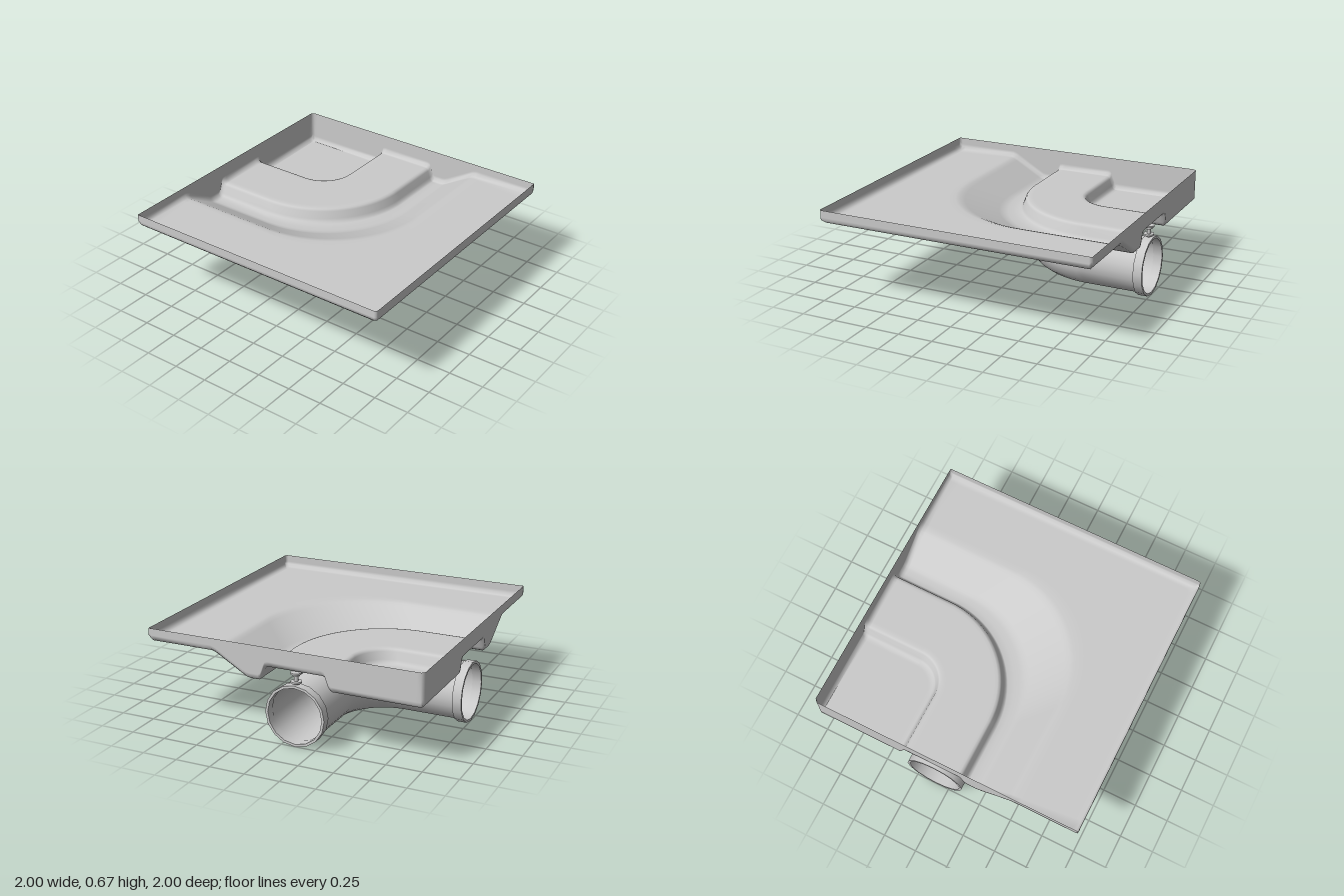
import * as THREE from 'three';
import { mergeVertices } from 'three/addons/utils/BufferGeometryUtils.js';

const RIM = 0.67, ARC = 24;

// Path of a 90 degree bend: from the back edge along x = u, round a corner of radius r, to the left edge along z = -u
function bendPath(u, r, end) {
  const pts = [];
  for (const t of [0, 0.04, 0.5]) pts.push([u, THREE.MathUtils.lerp(-end, -u - r, t)]);
  for (let k = 0; k <= ARC; k++) {
    const a = (k / ARC) * Math.PI / 2;
    pts.push([u + r - r * Math.cos(a), -u - r + r * Math.sin(a)]);
  }
  for (const t of [0.5, 0.96, 1]) pts.push([THREE.MathUtils.lerp(u + r, end, t), -u]);
  return pts;
}

// Surface through rows of equally many points
function loft(rows) {
  const n = rows[0].length, index = [];
  for (let i = 0; i < rows.length - 1; i++) {
    for (let j = 0; j < n - 1; j++) {
      const a = i * n + j, b = a + n;
      index.push(a, a + 1, b, b, a + 1, b + 1);
    }
  }
  const geo = new THREE.BufferGeometry();
  geo.setAttribute('position', new THREE.Float32BufferAttribute(rows.flat(2), 3));
  geo.setIndex(index);
  const merged = mergeVertices(geo, 1e-5);
  merged.computeVertexNormals();
  return merged;
}

// Tray section: [offset u, height, corner radius]
function traySection() {
  const half = [[0.265, 0.43], [0.25, 0.44], [0.24, 0.46], [0.222, 0.51], [0.212, 0.525], [0.195, 0.53], [0.17, 0.53]];
  const pipeBend = (u) => 0.55 - u;
  const ridge = [
    ...half.map(([w, y]) => [0.1 - w, y]),
    ...half.slice().reverse().map(([w, y]) => [0.1 + w, y]),
  ].map(([u, y]) => [u, y, pipeBend(u)]);
  return [
    [-1, RIM, 0.02], [-1, 0.62, 0.02], [-1, 0.6, 0.02], [-0.98, 0.58, 0.02], [-0.95, 0.58, 0.04],
    [-0.56, 0.58, 0.72], [-0.52, 0.58, 0.75], [-0.495, 0.573, 0.75], [-0.47, 0.56, 0.75],
    [-0.28, 0.448, 0.72], [-0.255, 0.435, 0.72], [-0.23, 0.43, 0.72], [-0.2, 0.43, 0.72],
    ...ridge,
    [0.39, 0.43, 0.17], [0.95, 0.43, 0.01], [0.98, 0.43, 0], [0.99, 0.45, 0],
  ];
}

export function createModel() {
  const model = new THREE.Group();
  const mat = new THREE.MeshStandardMaterial({ color: 0xcccccc, side: THREE.DoubleSide });
  const add = (name, geo, parent = model) => {
    const mesh = new THREE.Mesh(geo, mat);
    mesh.name = name;
    parent.add(mesh);
    return mesh;
  };

  // Thin tray with raised channel, each section line folded up into the two side walls
  const tray = traySection().map(([u, y, r]) => {
    const corner = u > 0.98;
    const end = corner ? u : 1, inset = corner ? u : 0.98;
    const fold = Math.min(RIM, y + 0.02), above = Math.min(RIM, y + 0.04);
    return [
      [u, RIM, -end], [u, above, -end], [u, fold, -end],
      ...bendPath(u, r, inset).map(([x, z]) => [x, y, z]),
      [end, fold, -u], [end, above, -u], [end, RIM, -u],
    ];
  });
  add('tray', loft(tray));

  // Pipe bend under the channel
  const pipe = [];
  for (let i = 0; i <= 24; i++) {
    const a = -(i % 24) / 24 * Math.PI * 2;
    const u = 0.1 + 0.2 * Math.cos(a), y = 0.222 + 0.2 * Math.sin(a);
    pipe.push(bendPath(u, 0.55 - u, 0.99).map(([x, z]) => [x, y, z]));
  }
  add('pipeBend', loft(pipe));

  // Collars at both pipe ends
  const ring = [[0.197, 0], [0.215, 0], [0.215, 0.065], [0.197, 0.065], [0.197, 0]];
  const profile = [];
  ring.forEach(([r, h], i) => {
    profile.push(new THREE.Vector2(r, h));
    if (i > 0 && i < 4) profile.push(new THREE.Vector2(r, h));
  });
  const collarGeo = new THREE.LatheGeometry(profile, 16);
  const leftCollar = add('leftCollar', collarGeo);
  leftCollar.rotation.z = -Math.PI / 2;
  leftCollar.position.set(0.935, 0.22, -0.1);
  const backCollar = add('backCollar', collarGeo);
  backCollar.rotation.x = -Math.PI / 2;
  backCollar.position.set(0.1, 0.22, -0.935);

  // Hanger bolt between the left collar and the channel
  const hanger = new THREE.Group();
  hanger.name = 'hangerBolt';
  hanger.position.set(0.965, 0, -0.1);
  const disc = (name, r, y0, y1) => {
    add(name, new THREE.CylinderGeometry(r, r, y1 - y0, 12), hanger).position.y = (y0 + y1) / 2;
  };
  disc('stem', 0.014, 0.43, 0.52);
  disc('head', 0.038, 0.508, 0.52);
  disc('nut', 0.024, 0.494, 0.508);
  disc('foot', 0.038, 0.446, 0.458);
  model.add(hanger);

  return model;
}
